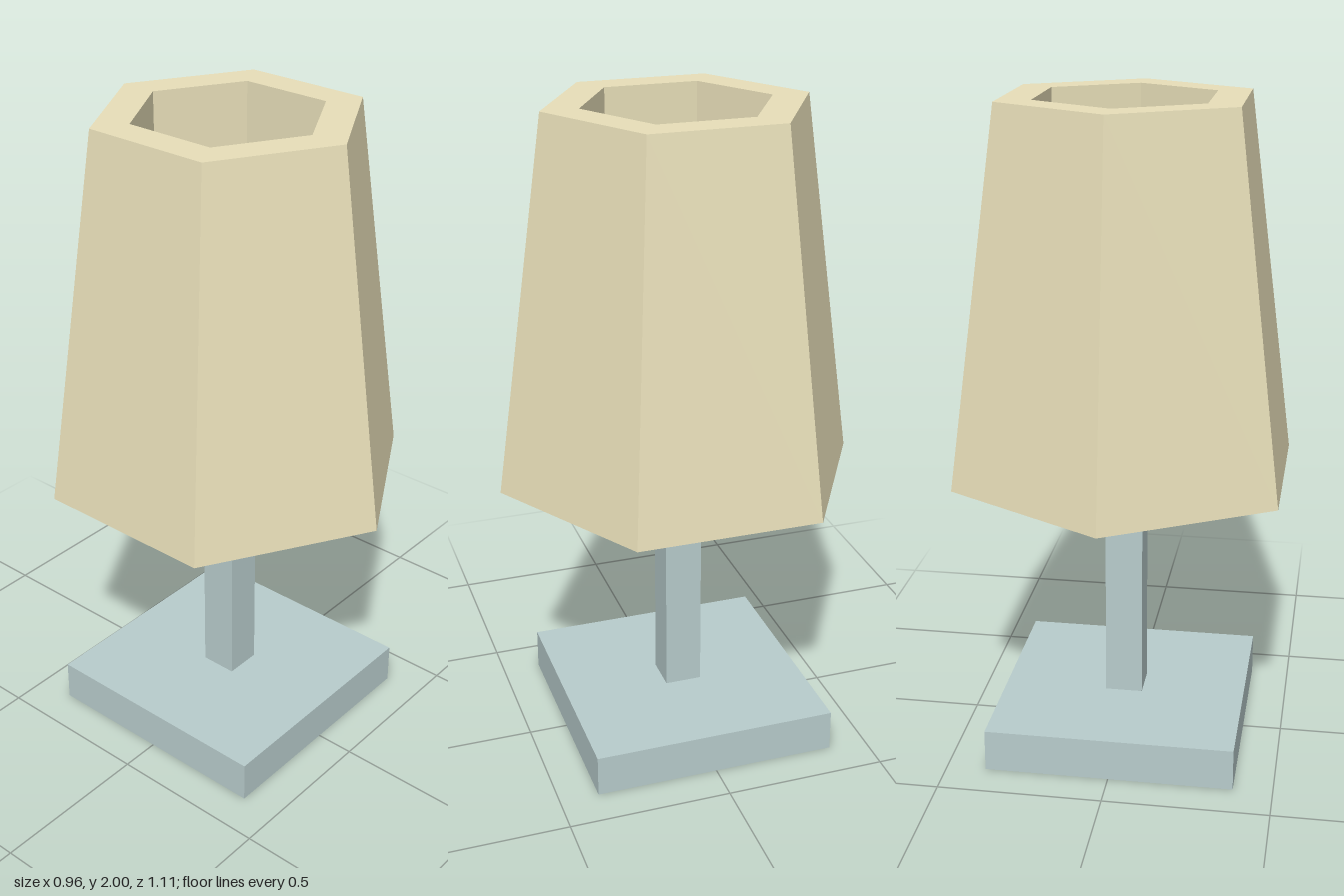
import * as THREE from 'three';

export function createModel() {
  const lamp = new THREE.Group();
  lamp.name = 'tableLamp';

  const metal = new THREE.MeshStandardMaterial({ color: 0xb8cccc, flatShading: true });
  const cream = new THREE.MeshStandardMaterial({ color: 0xe8dfb9, flatShading: true });

  // Square block standing between two heights
  function block(name, width, bottom, top) {
    const mesh = new THREE.Mesh(new THREE.BoxGeometry(width, top - bottom, width), metal);
    mesh.name = name;
    mesh.position.y = (bottom + top) / 2;
    lamp.add(mesh);
  }
  block('base', 0.76, 0, 0.13);
  block('pole', 0.115, 0.13, 1.43);

  // Thick hexagonal shade: tapered outside, straight bore inside
  const profile = [
    [0.285, 0.87], [0.557, 0.87], [0.397, 2], [0.285, 2], [0.285, 0.87],
  ].map(([r, y]) => new THREE.Vector2(r, y));
  const geometry = new THREE.LatheGeometry(profile, 6).toNonIndexed();
  geometry.computeVertexNormals();
  const shade = new THREE.Mesh(geometry, cream);
  shade.name = 'lampShade';
  lamp.add(shade);

  return lamp;
}
